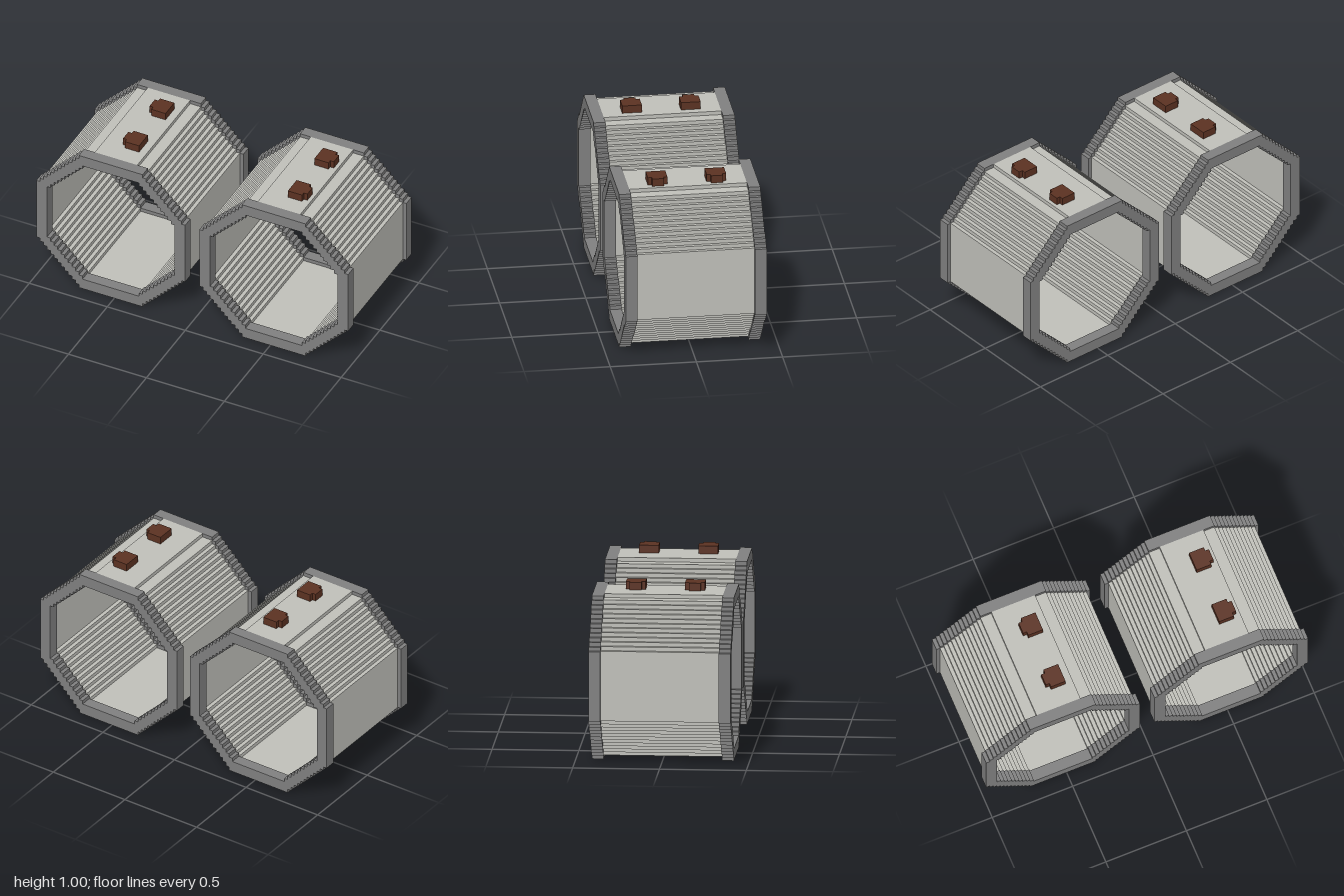
import * as THREE from 'three';

// Everything sits on a grid of small cubes, 44 to one unit
const U = 1 / 44;

// Stepped octagon outline: half size a, half flat length b, optional raised strip on top
function steppedOctagon(a, b, stripHalf = 0) {
  const quarter = [[a, b]];
  for (let x = a, y = b; x > b; x--, y++) quarter.push([x - 1, y], [x - 1, y + 1]);
  const points = [];
  let turn = (p) => p;
  for (let q = 0; q < 4; q++) {
    points.push(...quarter.map(turn));
    if (q === 0 && stripHalf) {
      points.push([stripHalf, a], [stripHalf, a + 1], [-stripHalf, a + 1], [-stripHalf, a]);
    }
    const previous = turn;
    turn = ([x, y]) => { const [px, py] = previous([x, y]); return [-py, px]; };
  }
  return points.map(([x, y]) => new THREE.Vector2(x * U, y * U));
}

// Hollow section running along z from z0 to z1
function hollow(outer, inner, z0, z1) {
  const shape = new THREE.Shape(outer);
  shape.holes.push(new THREE.Path(inner));
  const geometry = new THREE.ExtrudeGeometry(shape, { depth: (z1 - z0) * U, bevelEnabled: false });
  return geometry.translate(0, 0, z0 * U);
}

function box(x0, x1, y0, y1, z0, z1) {
  return new THREE.BoxGeometry((x1 - x0) * U, (y1 - y0) * U, (z1 - z0) * U)
    .translate((x0 + x1) / 2 * U, (y0 + y1) / 2 * U, (z0 + z1) / 2 * U);
}

function add(parent, name, geometry, material) {
  const mesh = new THREE.Mesh(geometry, material);
  mesh.name = name;
  parent.add(mesh);
}

export function createModel() {
  const material = (name, color) => {
    const m = new THREE.MeshStandardMaterial({ color });
    m.name = name;
    return m;
  };
  const rimGrey = material('rim grey', 0x808080);
  const shellGrey = material('shell light grey', 0xc0c0ba);
  const brown = material('knob brown', 0x5c3222);

  const model = new THREE.Group();
  model.name = 'twinTubes';

  const shell = hollow(steppedOctagon(20, 9, 6), steppedOctagon(19, 8, 5), -15, 15);
  const rim = (z) => hollow(steppedOctagon(21, 9), steppedOctagon(18, 8), z, z + 3);
  const frontRim = rim(15), backRim = rim(-18);

  for (const side of [-1, 1]) {
    const tube = new THREE.Group();
    tube.name = side > 0 ? 'leftTube' : 'rightTube';
    tube.position.set(side * 23 * U, 21 * U, 0);
    add(tube, 'shell', shell, shellGrey);
    add(tube, 'frontRim', frontRim, rimGrey);
    add(tube, 'backRim', backRim, rimGrey);

    // Two knobs on the raised strip, tabs pointing outwards
    const x = side > 0 ? 0 : 4; // inner edge of the knob
    const span = (a, b) => [x + side * a, x + side * b].sort((m, n) => m - n);
    for (const z of [-7.5, 7.5]) {
      const knob = new THREE.Group();
      knob.name = z > 0 ? 'frontKnob' : 'backKnob';
      add(knob, 'knobBody', box(...span(0, 4), 21, 23, z - 2.5, z + 2.5), brown);
      add(knob, 'knobTab', box(...span(4, 5), 21, 23, z - 1.5, z + 1.5), brown);
      // Cross-shaped peg showing under the ceiling
      add(knob, 'pegAcross', box(...span(1, 4), 19, 20, z - 0.5, z + 0.5), brown);
      add(knob, 'pegAlong', box(...span(2, 3), 19, 20, z - 1.5, z + 1.5), brown);
      tube.add(knob);
    }
    model.add(tube);
  }
  return model;
}
